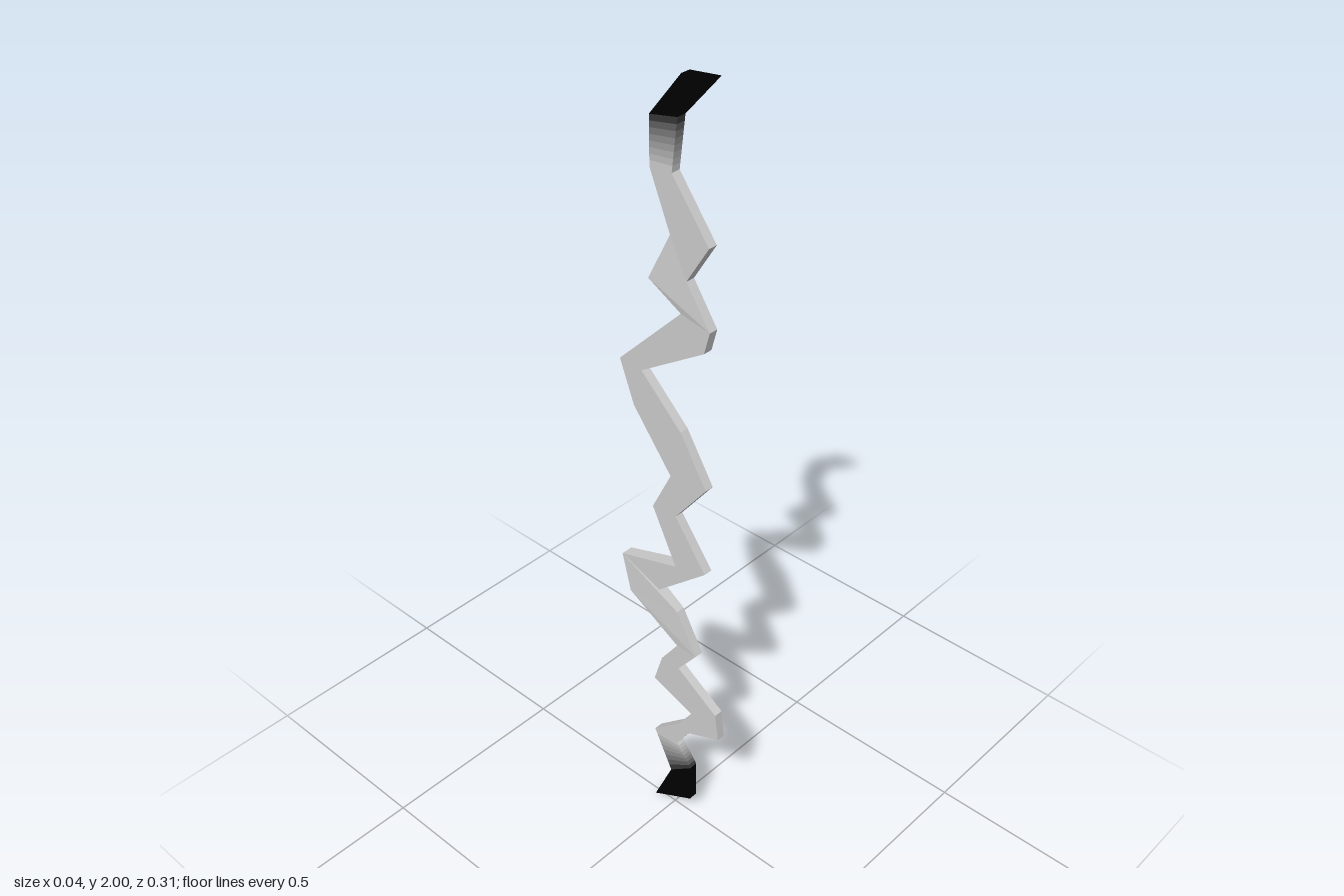
import * as THREE from 'three';

// Cross-sections from top to bottom: front edge [z, y], back edge [z, y],
// then optional sideways bulge of the back edge: left (+x), right (-x)
const SECTIONS = [
  [0.11, 2.0, 0.03, 1.99],
  [0.02, 1.9, -0.055, 1.885],
  [0.005, 1.78, -0.055, 1.775],
  [0.105, 1.65, 0, 1.645],
  [0.045, 1.555, -0.055, 1.53, 0, 0.007],
  [0.11, 1.46, 0.03, 1.475],
  [0.095, 1.405, -0.15, 1.295],
  [-0.085, 1.29, -0.15, 1.295],
  [0.03, 1.18, -0.11, 1.19],
  [0.105, 1.06, 0, 1.05],
  [0.015, 0.945, -0.055, 0.94],
  [0.105, 0.825, 0.015, 0.8, 0.014, 0],
  [-0.037, 0.702, -0.15, 0.755, 0, 0.007],
  [0.02, 0.665, -0.125, 0.655, 0, 0.007],
  [0.08, 0.56, 0.02, 0.56],
  [0.025, 0.49, -0.03, 0.49],
  [0.145, 0.41, -0.055, 0.41],
  [0.155, 0.335, 0.07, 0.37],
  [0.06, 0.295, 0.025, 0.305],
  [0.02, 0.235, -0.055, 0.235],
  [0.065, 0.175, 0, 0.125],
  [0.065, 0.065, -0.055, 0],
];

// Four corners of a section, running round the strip
function corners([fz, fy, bz, by, left = 0, right = 0]) {
  return [[0.008, fy, fz], [0.008 + left, by, bz], [-0.015 - right, by, bz], [-0.015, fy, fz]];
}

// Faceted strip through a run of sections, with optional end caps
function strip(name, sections, color, capTop = false, capBottom = false) {
  const rows = sections.map(corners);
  const pos = [];
  const quad = (a, b, c, d) => pos.push(...a, ...b, ...c, ...a, ...c, ...d);
  for (let i = 0; i < rows.length - 1; i++) {
    for (let k = 0; k < 4; k++) {
      const n = (k + 1) % 4;
      quad(rows[i][k], rows[i + 1][k], rows[i + 1][n], rows[i][n]);
    }
  }
  if (capTop) quad(...rows[0]);
  if (capBottom) quad(...[...rows[rows.length - 1]].reverse());
  const geometry = new THREE.BufferGeometry();
  geometry.setAttribute('position', new THREE.Float32BufferAttribute(pos, 3));
  geometry.computeVertexNormals();
  const mesh = new THREE.Mesh(geometry, new THREE.MeshStandardMaterial({ color, flatShading: true }));
  mesh.name = name;
  return mesh;
}

// Thin bands that fade from one shade to another between two sections
function fade(name, a, b, from, to, bands = 8) {
  const group = new THREE.Group();
  group.name = name;
  const at = (t) => [0, 1, 2, 3].map((i) => THREE.MathUtils.lerp(a[i], b[i], t));
  for (let i = 0; i < bands; i++) {
    const color = new THREE.Color(from).lerp(new THREE.Color(to), (i + 0.5) / bands);
    group.add(strip(name + 'Band', [at(i / bands), at((i + 1) / bands)], color));
  }
  return group;
}

export function createModel() {
  const model = new THREE.Group();
  model.name = 'jaggedBolt';
  const grey = 0xcccccc, black = 0x000000;
  model.add(
    strip('topTip', SECTIONS.slice(0, 2), black, true),
    fade('topFade', SECTIONS[1], SECTIONS[2], black, grey),
    strip('zigzagBody', SECTIONS.slice(2, 20), grey),
    fade('bottomFade', SECTIONS[19], SECTIONS[20], grey, black),
    strip('bottomTip', SECTIONS.slice(20), black, false, true),
  );
  return model;
}
